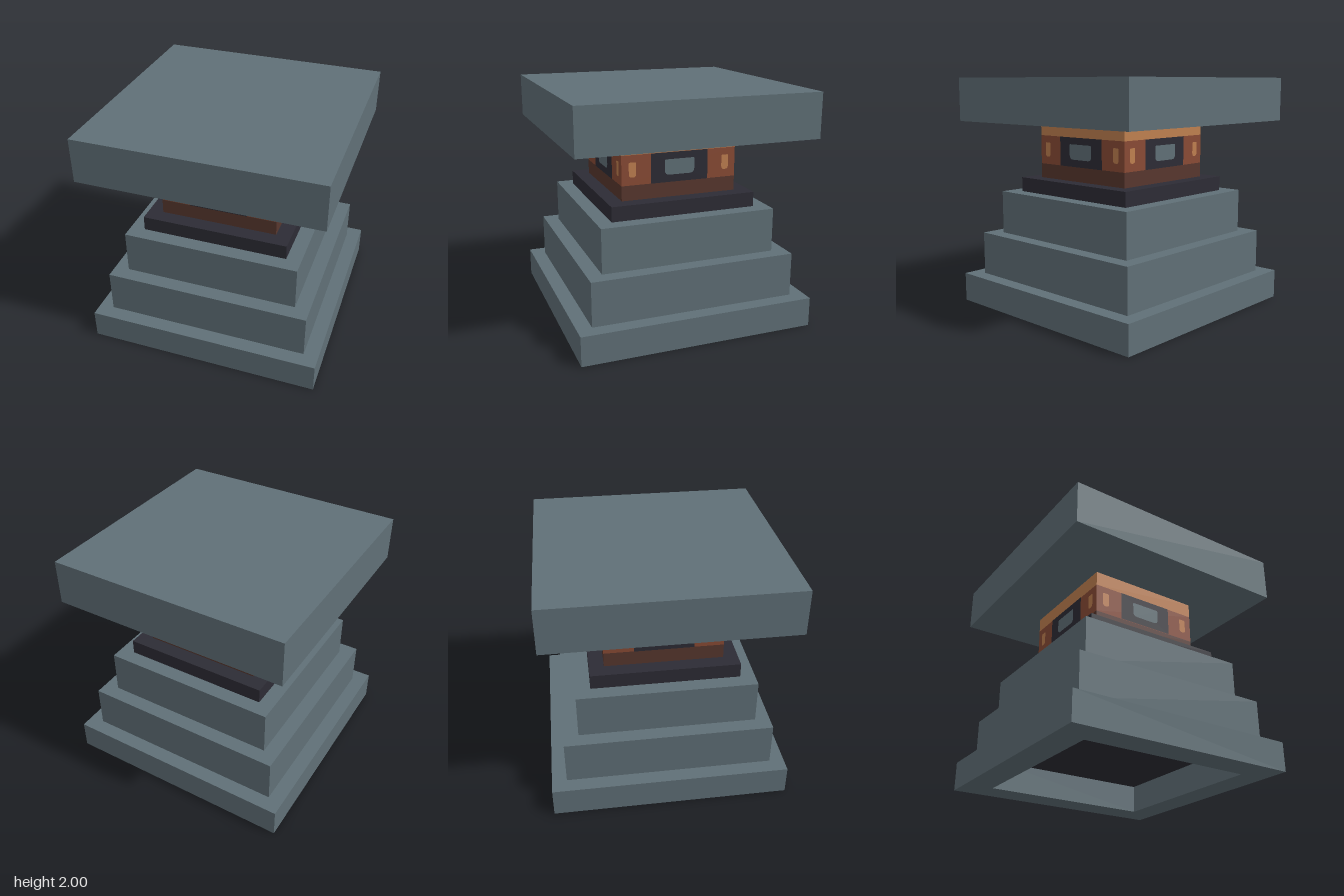
import * as THREE from 'three';

const paint = (name, color) => {
  const m = new THREE.MeshStandardMaterial({ color });
  m.name = name;
  return m;
};

// Rectangle with separate top and bottom corner radii, centred on (x, y)
function roundedRect(x, y, w, h, top, bottom) {
  const l = x - w / 2, r = x + w / 2, b = y - h / 2, t = y + h / 2;
  const s = new THREE.Shape();
  s.moveTo(l + bottom, b);
  s.lineTo(r - bottom, b);
  s.quadraticCurveTo(r, b, r, b + bottom);
  s.lineTo(r, t - top);
  s.quadraticCurveTo(r, t, r - top, t);
  s.lineTo(l + top, t);
  s.quadraticCurveTo(l, t, l, t - top);
  s.lineTo(l, b + bottom);
  s.quadraticCurveTo(l, b, l + bottom, b);
  return s;
}

function square(Type, half) {
  return new Type([[-half, -half], [half, -half], [half, half], [-half, half]]
    .map(([x, y]) => new THREE.Vector2(x, y)));
}

export function createModel() {
  const stone = paint('slate grey', 0x607077);
  const dark = paint('charcoal', 0x2d2c35);
  const copper = paint('light copper', 0xc08050);
  const rust = paint('rust', 0x8a4b35);
  const brown = paint('dark brown', 0x58372e);

  const model = new THREE.Group();
  model.name = 'steppedPedestal';

  const add = (parent, name, geometry, material) => {
    const mesh = new THREE.Mesh(geometry, material);
    mesh.name = name;
    parent.add(mesh);
    return mesh;
  };

  // Hollow foot with a dark recess ceiling
  const footShape = square(THREE.Shape, 1);
  footShape.holes.push(square(THREE.Path, 0.75));
  const foot = new THREE.ExtrudeGeometry(footShape, { depth: 0.25, bevelEnabled: false });
  add(model, 'foot', foot.rotateX(-Math.PI / 2), stone);
  const ceiling = new THREE.PlaneGeometry(1.5, 1.5).rotateX(Math.PI / 2);
  add(model, 'recessCeiling', ceiling, dark).position.y = 0.247;

  // Stacked square slabs: name, half width, bottom, top, colour
  const slabs = [
    ['lowerTier', 0.875, 0.25, 0.625, stone],
    ['upperTier', 0.75, 0.625, 1, stone],
    ['collar', 0.625, 1, 1.125, dark],
    ['neckBase', 0.5, 1.125, 1.25, brown],
    ['neckBody', 0.5, 1.25, 1.5, rust],
    ['neckCrown', 0.5, 1.5, 1.625, copper],
    ['topSlab', 1, 1.625, 2, stone],
  ];
  for (const [name, half, y0, y1, material] of slabs) {
    const geometry = new THREE.BoxGeometry(2 * half, y1 - y0, 2 * half);
    add(model, name, geometry, material).position.y = (y0 + y1) / 2;
  }

  // Same painted face on all four sides of the neck
  for (let i = 0; i < 4; i++) {
    const face = new THREE.Group();
    face.name = 'neckFace' + (i + 1);
    face.rotation.y = i * Math.PI / 2;
    const plate = (name, shape, z, material) => {
      add(face, name, new THREE.ShapeGeometry(shape, 4), material).position.z = z;
    };
    plate('panel', roundedRect(0, 1.375, 0.5, 0.25, 0, 0), 0.503, dark);
    plate('panelWindow', roundedRect(0, 1.377, 0.26, 0.13, 0.012, 0.04), 0.506, stone);
    for (const side of [-1, 1]) {
      plate('sideMark', roundedRect(side * 0.408, 1.378, 0.062, 0.125, 0.012, 0.028), 0.503, copper);
    }
    model.add(face);
  }
  return model;
}
